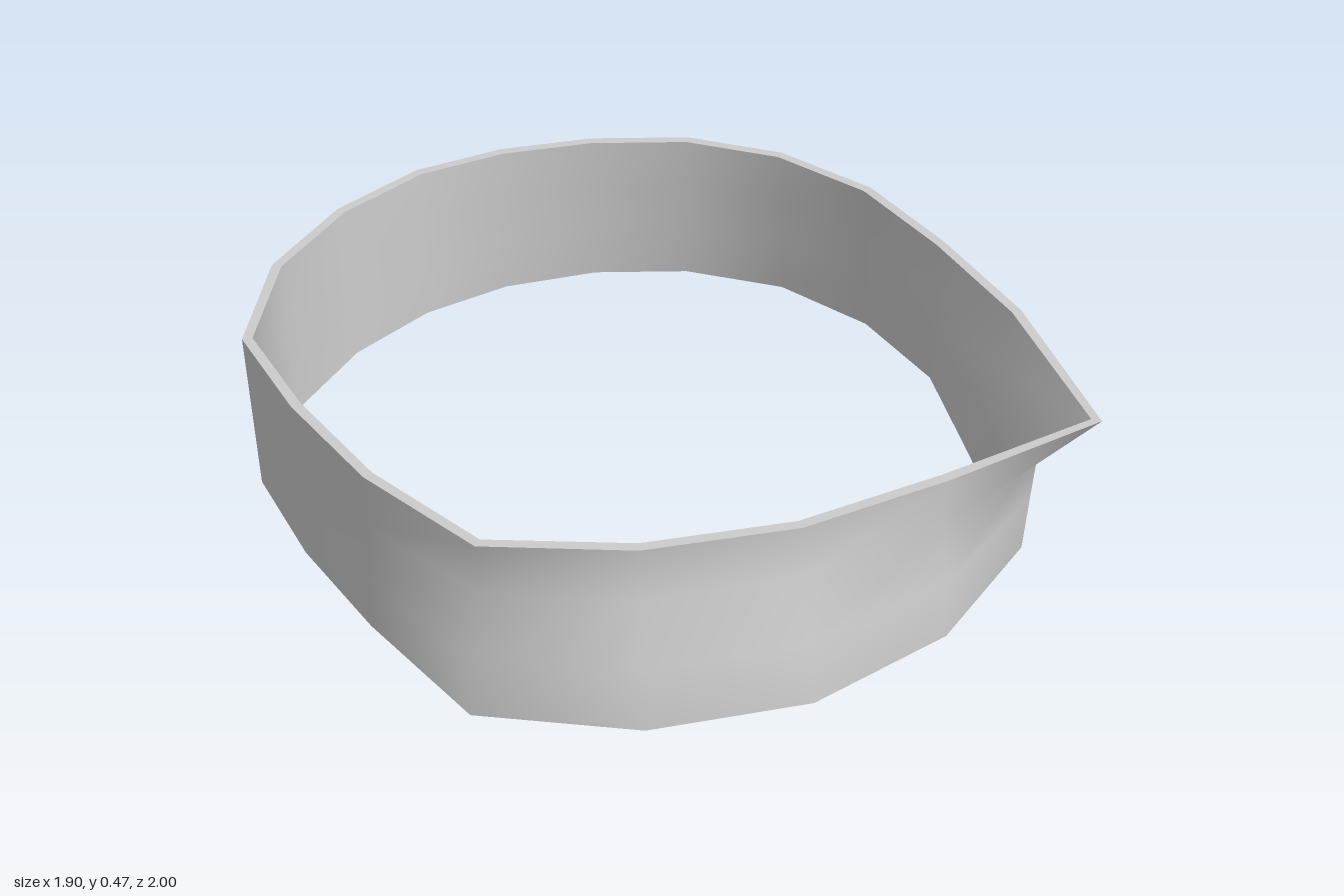
import * as THREE from 'three';

// Outer outline at four heights, as [x, z], running from the back past -x, the front and +x
const bottom = [
  [0, -1], [-0.27, -0.965], [-0.53, -0.855], [-0.775, -0.66], [-0.945, -0.37], [-0.93, -0.04],
  [-0.87, 0.3], [-0.76, 0.7], [-0.4, 0.92], [0.01, 1], [0.42, 0.92], [0.77, 0.7],
  [0.87, 0.31], [0.95, -0.05], [0.91, -0.37], [0.77, -0.65], [0.54, -0.85], [0.28, -0.96],
];
const top = [
  [0, -0.98], [-0.26, -0.97], [-0.53, -0.865], [-0.78, -0.67], [-0.955, -0.37], [-0.93, -0.04],
  [-0.86, 0.3], [-0.71, 0.65], [-0.37, 0.82], [0.01, 0.9], [0.41, 0.885], [0.88, 0.82],
  [0.945, 0.33], [0.92, -0.03], [0.87, -0.36], [0.73, -0.63], [0.52, -0.82], [0.26, -0.93],
];
const N = top.length;
const THICKNESS = 0.027;

// Blend of the two outlines, with replacements where the wall bends in or flares late
const blend = (t, changes) => bottom.map(([x, z], i) => changes[i] ||
  [x + (top[i][0] - x) * t, z + (top[i][1] - z) * t]);
const lower = blend(0.36, {
  7: [-0.75, 0.69], 8: [-0.395, 0.9], 9: [0.01, 0.975], 10: [0.42, 0.91], 11: [0.775, 0.705], 12: [0.875, 0.31],
});
const upper = blend(0.68, {
  7: [-0.7, 0.645], 8: [-0.37, 0.825], 9: [0.01, 0.9], 10: [0.41, 0.872], 11: [0.78, 0.71], 12: [0.89, 0.32],
});

const lift = (ring, y) => ring.map(([x, z]) => new THREE.Vector3(x, y, z));

// Move a ring inwards by the wall thickness
function inset(ring) {
  return ring.map((p, i) => {
    const a = ring[(i + N - 1) % N], b = ring[(i + 1) % N];
    const n = new THREE.Vector3(a.z - b.z, 0, b.x - a.x).normalize();
    return p.clone().addScaledVector(n, -THICKNESS);
  });
}

// Closed strip through successive rings, smooth within itself
function loft(rings) {
  const position = rings.flat().flatMap((p) => [p.x, p.y, p.z]);
  const index = [];
  for (let j = 0; j < rings.length - 1; j++) {
    for (let i = 0; i < N; i++) {
      const k = (i + 1) % N;
      const a = j * N + i, b = j * N + k, c = b + N, d = a + N;
      index.push(a, b, c, a, c, d);
    }
  }
  const g = new THREE.BufferGeometry();
  g.setAttribute('position', new THREE.Float32BufferAttribute(position, 3));
  g.setIndex(index);
  g.computeVertexNormals();
  return g;
}

export function createModel() {
  const group = new THREE.Group();
  group.name = 'band';
  const grey = new THREE.MeshStandardMaterial({ color: 0xcccccc });
  grey.name = 'light grey';

  const outer = [lift(bottom, 0), lift(lower, 0.17), lift(upper, 0.32), lift(top, 0.47)];
  // The flared corner dips slightly
  outer[3][11].y = 0.457;
  outer[3][12].y = 0.463;
  const inner = outer.map(inset);

  const parts = {
    outerWall: outer,
    topRim: [outer[3], inner[3]],
    innerWall: [...inner].reverse(),
    bottomRim: [inner[0], outer[0]],
  };
  for (const [name, rings] of Object.entries(parts)) {
    const mesh = new THREE.Mesh(loft(rings), grey);
    mesh.name = name;
    group.add(mesh);
  }
  return group;
}
